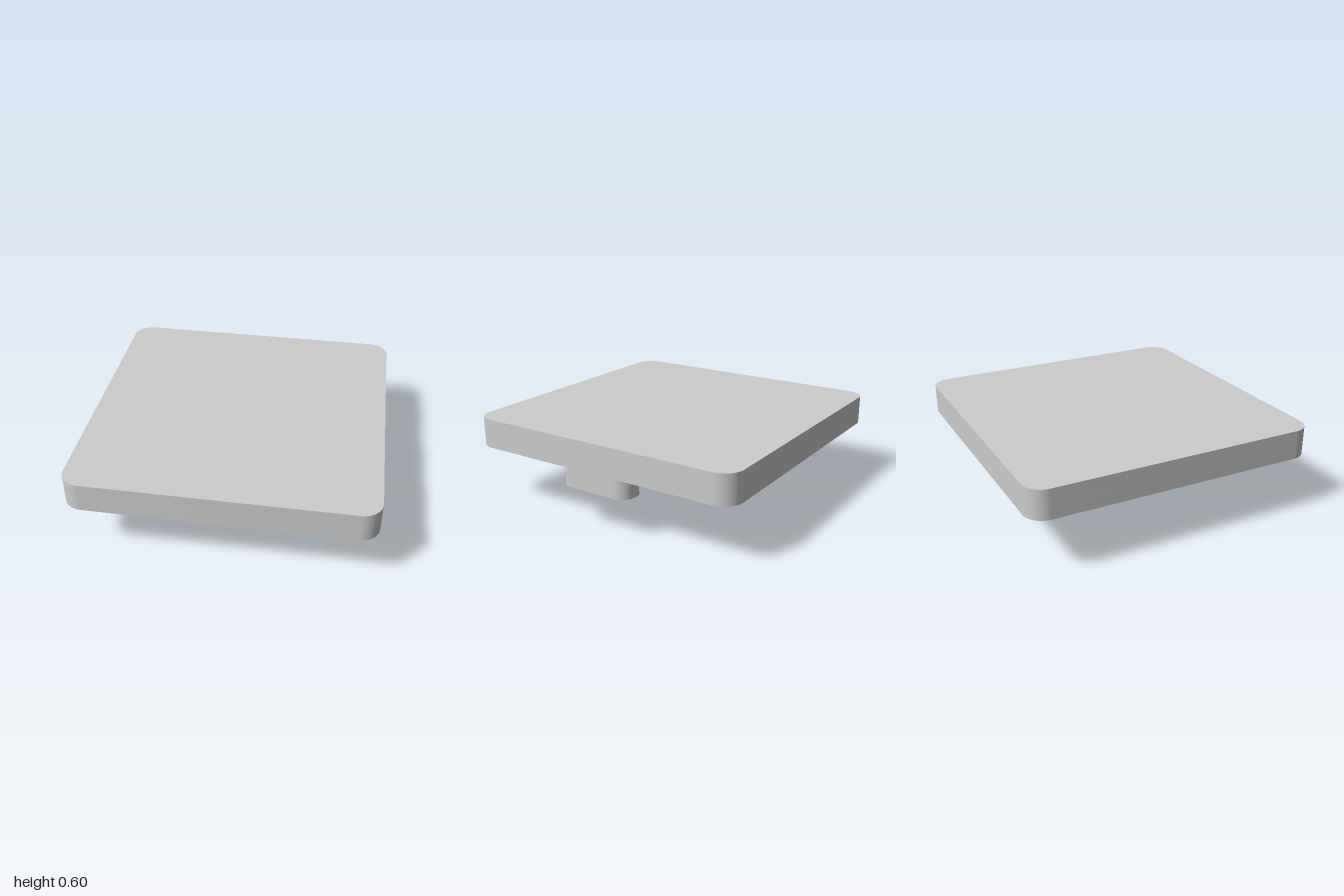
import * as THREE from 'three';
import { toCreasedNormals } from 'three/addons/utils/BufferGeometryUtils.js';

const PLATE_TOP = 0.6, PLATE_BOTTOM = 0.4, POCKET_FLOOR = 0.47;

// Rounded rectangle outline centred on (cx, 0)
function roundedRect(cx, halfW, halfD, r) {
  const s = new THREE.Shape();
  s.absarc(cx + halfW - r, halfD - r, r, 0, Math.PI / 2);
  s.absarc(cx - halfW + r, halfD - r, r, Math.PI / 2, Math.PI);
  s.absarc(cx - halfW + r, -halfD + r, r, Math.PI, Math.PI * 1.5);
  s.absarc(cx + halfW - r, -halfD + r, r, Math.PI * 1.5, Math.PI * 2);
  s.closePath();
  return s;
}

// Extrude a ground outline upward from y0 to y1
function upright(shape, y0, y1, material, name) {
  const geo = new THREE.ExtrudeGeometry(shape, {
    depth: y1 - y0, bevelEnabled: false, curveSegments: 16,
  });
  geo.rotateX(-Math.PI / 2);
  geo.translate(0, y0, 0);
  const mesh = new THREE.Mesh(toCreasedNormals(geo, Math.PI / 6), material);
  mesh.name = name;
  return mesh;
}

export function createModel() {
  const model = new THREE.Group();
  model.name = 'squareCap';
  const grey = new THREE.MeshStandardMaterial({ color: 0xcccccc });
  grey.name = 'light grey';

  // Solid upper slab
  model.add(upright(roundedRect(0, 1, 1, 0.13), POCKET_FLOOR, PLATE_TOP, grey, 'topPlate'));

  // Rim around the shallow square pocket on the underside
  const rim = roundedRect(0, 1, 1, 0.13);
  const p = 0.83;
  rim.holes.push(new THREE.Path([[-p, -p], [-p, p], [p, p], [p, -p]]
    .map(([x, y]) => new THREE.Vector2(x, y))).closePath());
  model.add(upright(rim, PLATE_BOTTOM, POCKET_FLOOR, grey, 'undersideRim'));

  // Round stem split in two by a diagonal slot
  const stem = new THREE.Group();
  stem.name = 'splitStem';
  const radius = 0.165, halfSlot = 0.035;
  const spread = Math.acos(halfSlot / radius);
  for (const [name, mid] of [['stemHalfA', 0.75 * Math.PI], ['stemHalfB', 1.75 * Math.PI]]) {
    const half = new THREE.Shape();
    half.absarc(0, 0, radius, mid - spread, mid + spread);
    half.closePath();
    stem.add(upright(half, 0, POCKET_FLOOR, grey, name));
  }
  model.add(stem);

  // Rounded tab flush with the left edge
  model.add(upright(roundedRect(0.9, 0.1, 0.265, 0.095), 0.27, POCKET_FLOOR, grey, 'edgeTab'));

  return model;
}
